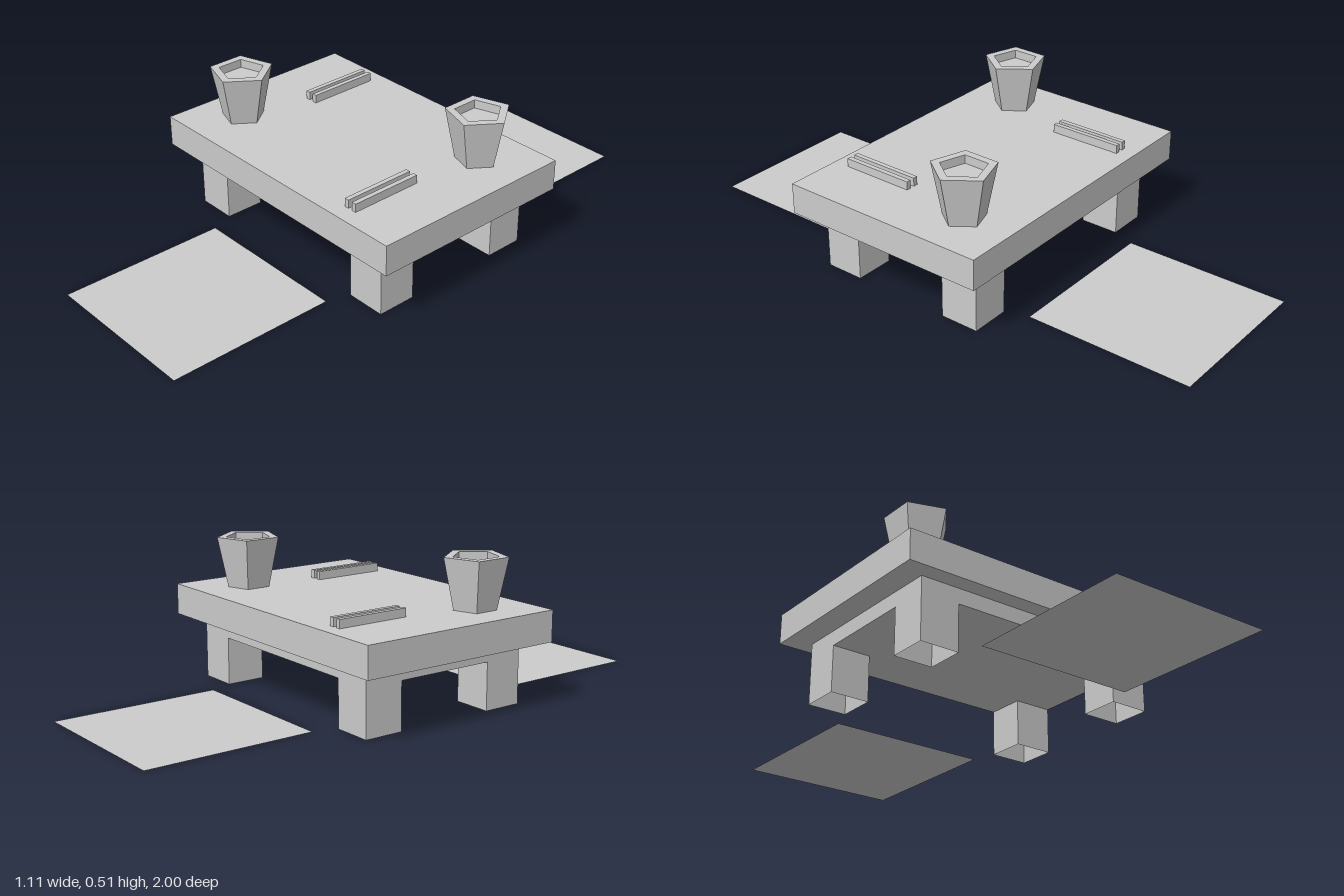
import * as THREE from 'three';

export function createModel() {
  const group = new THREE.Group();
  const mat = new THREE.MeshStandardMaterial({ color: 0xcccccc, flatShading: true, side: THREE.DoubleSide });

  const add = (name, geometry, x, y, z) => {
    const mesh = new THREE.Mesh(geometry, mat);
    mesh.name = name;
    mesh.position.set(x, y, z);
    group.add(mesh);
    return mesh;
  };

  // Table top and the apron slab beneath it
  add('tableTop', new THREE.BoxGeometry(1.106, 0.109, 0.766), 0, 0.2755, 0);
  add('apron', new THREE.BoxGeometry(0.928, 0.054, 0.64), 0, 0.194, 0);

  // Four square legs, open at the bottom
  const legGeometry = new THREE.CylinderGeometry(Math.SQRT1_2, Math.SQRT1_2, 0.167, 4, 1, true);
  legGeometry.rotateY(Math.PI / 4).scale(0.143, 1, 0.14);
  for (const sx of [-1, 1]) {
    for (const sz of [-1, 1]) add('leg', legGeometry, sx * 0.3925, 0.0835, sz * 0.25);
  }

  // Five-sided cups with a shallow recess
  const cupProfile = [[0, 0], [0.075, 0], [0.112, 0.178], [0.08, 0.178], [0.08, 0.148], [0, 0.148]]
    .map(([r, y]) => new THREE.Vector2(r, y));
  const cupGeometry = new THREE.LatheGeometry(cupProfile, 5, Math.PI / 2);
  add('cup', cupGeometry, -0.388, 0.331, 0.187);
  add('cup', cupGeometry, 0.371, 0.331, -0.197);

  // A pair of chopsticks at each place
  const stickGeometry = new THREE.BoxGeometry(0.017, 0.03, 0.265);
  for (const [x, z] of [[-0.315, -0.195], [0.325, 0.192]]) {
    for (const side of [-1, 1]) add('chopstick', stickGeometry, x + side * 0.0165, 0.345, z);
  }

  // Flat floor mats in front and behind
  const matGeometry = new THREE.PlaneGeometry(0.59, 0.598).rotateX(-Math.PI / 2);
  for (const side of [-1, 1]) add('floorMat', matGeometry, 0, 0, side * 0.701);

  return group;
}
